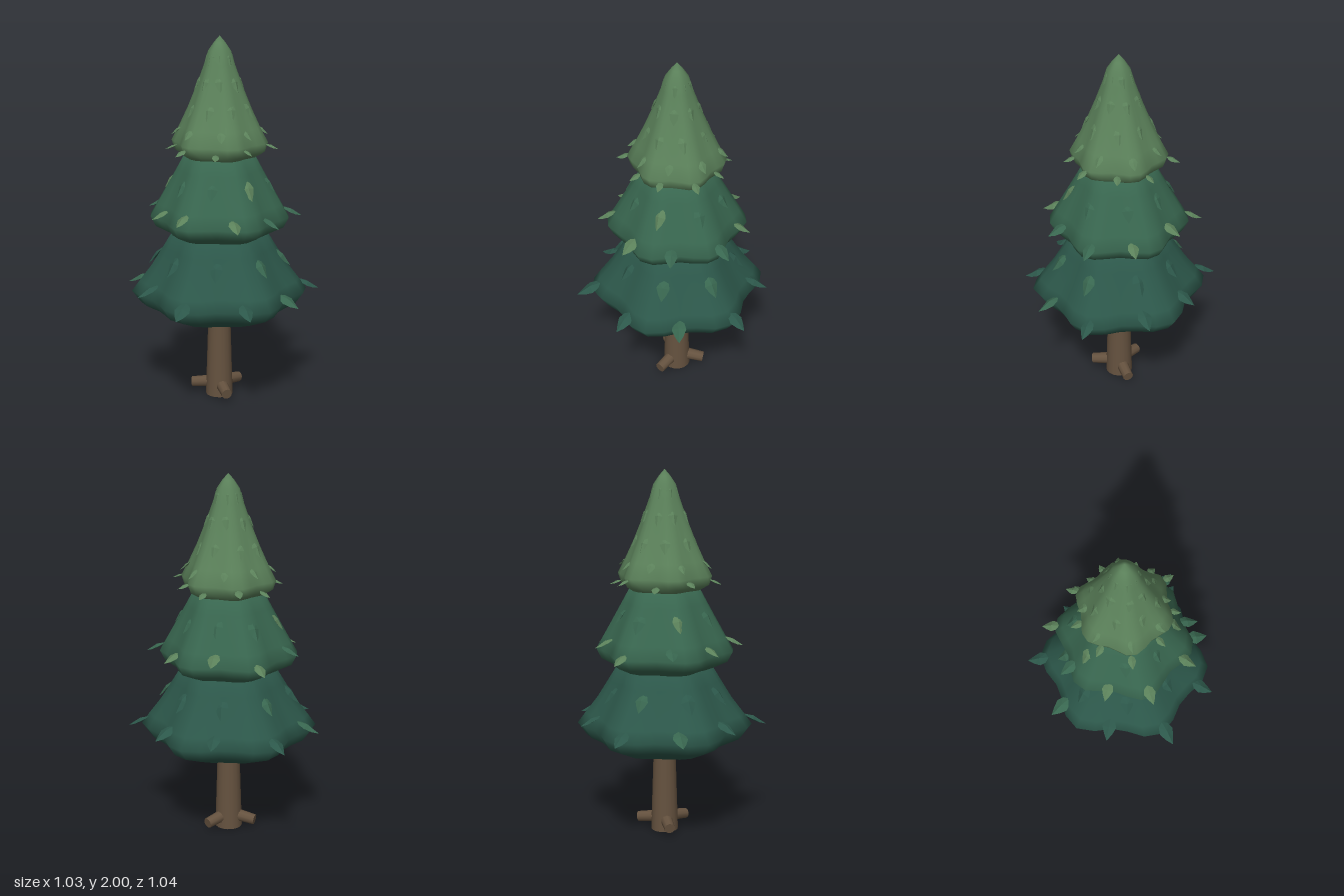
import * as THREE from 'three';
import { mergeVertices } from 'three/addons/utils/BufferGeometryUtils.js';

const RAD = Math.PI / 180;
const mat = (color, flatShading = false) => {
  const m = new THREE.MeshStandardMaterial({ flatShading });
  m.color.set(color);
  return m;
};

// Needle tiers: profile [radius, y] from underside to top; leaf rows by height
const TIERS = [
  {
    name: 'lowerTier', color: 0x2c574a, phase: -16, lobe: 0.085,
    profile: [[0, 0.45], [0.11, 0.452], [0.28, 0.485], [0.4, 0.545], [0.442, 0.61], [0.405, 0.67], [0.345, 0.76], [0.29, 0.86], [0.235, 0.96], [0, 1.0]],
    rows: [
      { y: 0.85, count: 8, start: 3, size: 0.125, steep: 54 },
      { y: 0.66, count: 9, start: 0, size: 0.135, steep: 30, spread: 0.07 },
    ],
  },
  {
    name: 'middleTier', color: 0x38664f, phase: -11, lobe: 0.085,
    profile: [[0, 0.91], [0.13, 0.913], [0.25, 0.935], [0.325, 0.975], [0.35, 1.03], [0.315, 1.1], [0.265, 1.2], [0.22, 1.29], [0.175, 1.38], [0, 1.42]],
    rows: [
      { y: 1.265, count: 8, start: 9, size: 0.115, steep: 60 },
      { y: 1.07, count: 9, start: 5, size: 0.11, steep: 30, spread: 0.07 },
    ],
  },
  {
    name: 'upperTier', color: 0x5b815a, phase: -2, lobe: 0.08,
    profile: [[0, 1.35], [0.1, 1.352], [0.19, 1.365], [0.228, 1.39], [0.242, 1.44], [0.205, 1.52], [0.163, 1.62], [0.118, 1.74], [0.08, 1.85], [0.06, 1.92], [0.03, 1.965], [0, 2.0]],
    rows: [
      { y: 1.925, count: 8, start: 0, size: 0.085, steep: 72 },
      { y: 1.8, count: 8, start: 0, size: 0.095, steep: 68 },
      { y: 1.66, count: 8, start: 22, size: 0.095, steep: 66 },
      { y: 1.525, count: 8, start: 0, size: 0.075, steep: 45 },
      { y: 1.42, count: 9, start: 20, size: 0.07, steep: 25, spread: 0.04 },
    ],
  },
];

// Six soft lobes around each tier, fading out towards the axis
function lobed(tier, r, angle) {
  const rim = Math.max(...tier.profile.map((p) => p[0]));
  return r * (1 + tier.lobe * Math.min(1, r / rim) * Math.cos(6 * (angle - tier.phase * RAD)));
}

// Outer radius of the upper slope at height y
function slopeRadius(tier, y, angle) {
  const p = tier.profile;
  for (let i = 4; i < p.length - 1; i++) {
    if (y <= p[i + 1][1]) {
      const t = Math.max(0, (y - p[i][1]) / (p[i + 1][1] - p[i][1]));
      return lobed(tier, THREE.MathUtils.lerp(p[i][0], p[i + 1][0], t), angle);
    }
  }
  return 0;
}

function tierGeometry(tier) {
  let g = new THREE.LatheGeometry(tier.profile.map(([r, y]) => new THREE.Vector2(r, y)), 30);
  g.deleteAttribute('uv');
  g.deleteAttribute('normal');
  const pos = g.attributes.position;
  for (let i = 0; i < pos.count; i++) {
    const x = pos.getX(i), z = pos.getZ(i);
    const r = Math.hypot(x, z), a = Math.atan2(z, x), s = r > 1e-6 ? lobed(tier, r, a) : 0;
    pos.setX(i, s * Math.cos(a));
    pos.setZ(i, s * Math.sin(a));
  }
  g = mergeVertices(g, 1e-4);
  g.computeVertexNormals();
  return g;
}

// Pointed leaf of unit length along +z, ridged on top, tip curling up slightly
function leafGeometry() {
  const outline = [[0, 0, 0], [0.21, 0, 0.16], [0.29, 0.02, 0.42], [0.17, 0.03, 0.72], [0, 0.09, 1],
    [-0.17, 0.03, 0.72], [-0.29, 0.02, 0.42], [-0.21, 0, 0.16]];
  const v = [...outline, [0, 0.13, 0.4], [0, -0.06, 0.4]];
  const index = [];
  outline.forEach((_, i) => {
    const j = (i + 1) % outline.length;
    index.push(8, j, i, 9, i, j);
  });
  // Keep ridge faces pointing up and back faces pointing down
  for (let i = 0; i < index.length; i += 3) [index[i + 1], index[i + 2]] = [index[i + 2], index[i + 1]];
  const g = new THREE.BufferGeometry();
  g.setAttribute('position', new THREE.Float32BufferAttribute(v.flat(), 3));
  g.setIndex(index);
  const flat = g.toNonIndexed();
  flat.computeVertexNormals();
  return flat;
}

export function createModel() {
  const tree = new THREE.Group();
  tree.name = 'pineTree';
  const body = new THREE.Group();
  body.name = 'treeBody';
  body.position.set(-0.015, 0, 0.015);
  tree.add(body);

  let seed = 7;
  const rand = () => (seed = (seed * 16807) % 2147483647) / 2147483647;

  // Trunk and its three cut stubs
  const bark = mat(0x65523f);
  const trunk = new THREE.Mesh(new THREE.CylinderGeometry(0.058, 0.075, 0.55, 16), bark);
  trunk.name = 'trunk';
  trunk.position.y = 0.275;
  body.add(trunk);
  const stubGeo = new THREE.CylinderGeometry(0.029, 0.034, 0.13, 10).rotateX(Math.PI / 2);
  for (let i = 0; i < 3; i++) {
    const a = i * 120 * RAD;
    const stub = new THREE.Mesh(stubGeo, bark);
    stub.name = 'trunkStub';
    stub.rotation.set(0.15, Math.PI / 2 - a, 0, 'YXZ');
    stub.position.set(0.09 * Math.cos(a), 0.06, 0.09 * Math.sin(a));
    body.add(stub);
  }

  // Foliage tiers with rows of leaves
  const leafGeo = leafGeometry();
  const leafMats = TIERS.map((t) => mat(t.color, true));
  leafMats.forEach((m) => { m.side = THREE.DoubleSide; });
  TIERS.forEach((tier, t) => {
    const group = new THREE.Group();
    group.name = tier.name;
    const foliage = new THREE.Mesh(tierGeometry(tier), mat(tier.color));
    foliage.name = 'foliage';
    group.add(foliage);
    for (const row of tier.rows) {
      for (let i = 0; i < row.count; i++) {
        const a = (row.start + (i * 360) / row.count + (rand() - 0.5) * 5) * RAD;
        const y = row.y + (rand() - 0.5) * (row.spread ?? 0.01);
        const r = slopeRadius(tier, y, a) - 0.008;
        const leaf = new THREE.Mesh(leafGeo, leafMats[rand() < 0.65 ? t : Math.min(2, t + 1)]);
        leaf.name = 'leaf';
        leaf.position.set(r * Math.cos(a), y, r * Math.sin(a));
        leaf.rotation.set(row.steep * RAD, Math.PI / 2 - a, (rand() - 0.5) * 0.4, 'YXZ');
        leaf.scale.setScalar(row.size * (0.92 + rand() * 0.16));
        group.add(leaf);
      }
    }
    body.add(group);
  });
  return tree;
}
